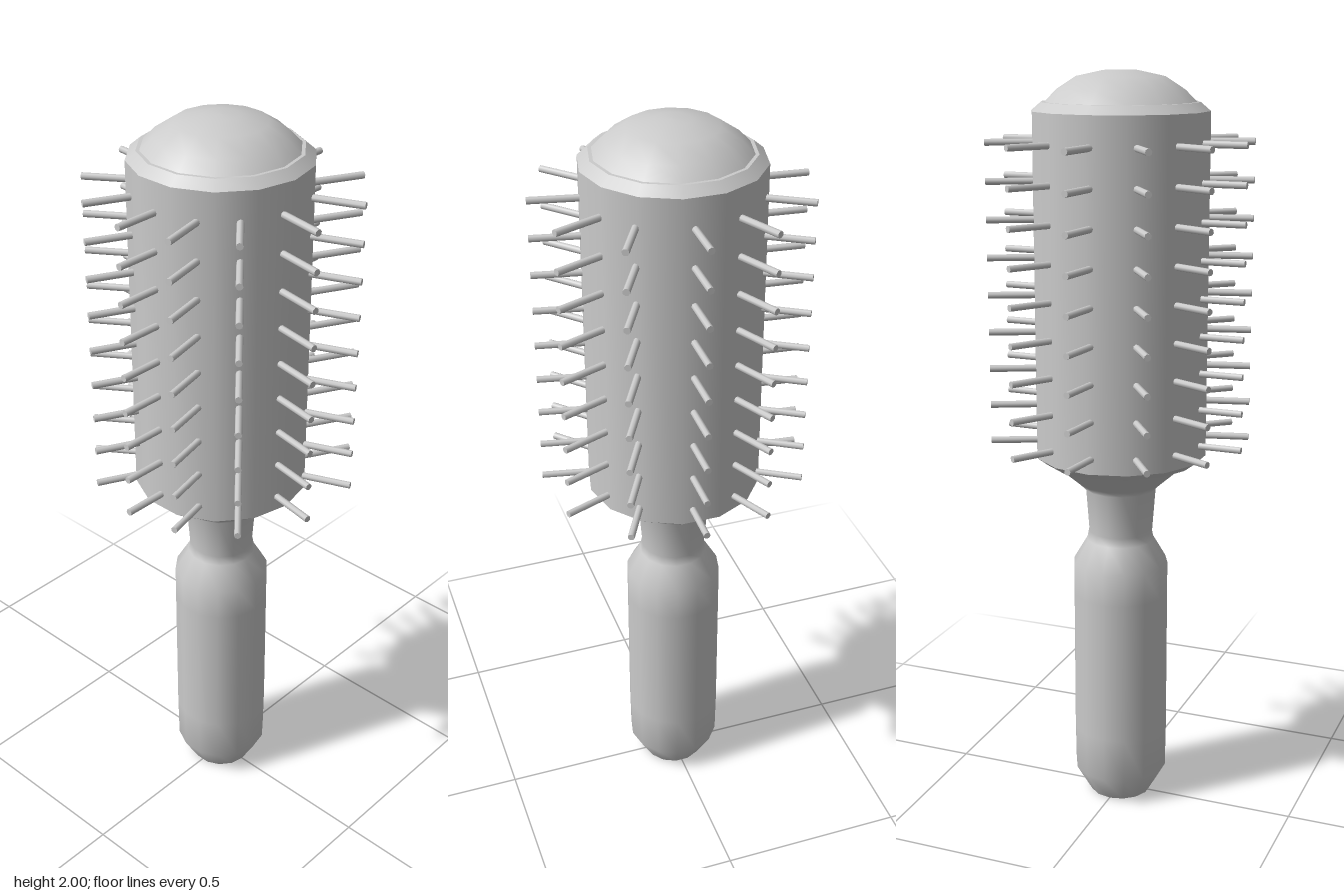
import * as THREE from 'three';

const material = new THREE.MeshStandardMaterial({ color: 0xcccccc });
const SIDES = 14;

// Revolved section; profile is [radius, y] from bottom to top, with a corner on the +x axis
function turned(name, profile) {
  const points = profile.map(([r, y]) => new THREE.Vector2(r, y));
  const mesh = new THREE.Mesh(new THREE.LatheGeometry(points, SIDES, Math.PI / 2), material);
  mesh.name = name;
  return mesh;
}

// Pin columns around the barrel: root x, z and tip x, z
const PIN_COLUMNS = [
  [0.022, -0.215, 0.026, -0.341], [0.145, -0.165, 0.208, -0.286],
  [0.205, -0.09, 0.33, -0.14], [0.215, 0.028, 0.347, 0.054],
  [0.175, 0.125, 0.266, 0.228], [0.102, 0.185, 0.133, 0.318],
  [-0.005, 0.215, -0.006, 0.34], [-0.105, 0.18, -0.165, 0.3],
  [-0.18, 0.11, -0.292, 0.185], [-0.21, 0.009, -0.349, -0.005],
  [-0.18, -0.106, -0.298, -0.18], [-0.093, -0.19, -0.15, -0.312],
];

function createPins() {
  const pins = new THREE.Group();
  pins.name = 'bristlePins';
  const up = new THREE.Vector3(0, 1, 0);
  const rows = 9;
  PIN_COLUMNS.forEach(([x0, z0, x1, z1]) => {
    const direction = new THREE.Vector3(x1 - x0, 0, z1 - z0);
    const geometry = new THREE.CylinderGeometry(0.009, 0.009, direction.length(), 8);
    direction.normalize();
    for (let row = 0; row < rows; row++) {
      const pin = new THREE.Mesh(geometry, material);
      pin.name = 'pin';
      pin.position.set((x0 + x1) / 2, 1.04 + row * 0.0978, (z0 + z1) / 2);
      pin.quaternion.setFromUnitVectors(up, direction);
      pins.add(pin);
    }
  });
  return pins;
}

export function createModel() {
  const model = new THREE.Group();
  model.name = 'roundHairbrush';

  // Handle with tapered butt, narrow neck and flared collar
  model.add(
    turned('handleEnd', [[0, 0], [0.085, 0]]),
    turned('handle', [
      [0.085, 0], [0.128, 0.075], [0.13, 0.2], [0.13, 0.6], [0.13, 0.69],
      [0.092, 0.755], [0.087, 0.78], [0.096, 0.9], [0.115, 0.918], [0.187, 0.98],
    ]),
  );

  // Barrel with bevelled rims at both ends
  model.add(
    turned('lowerRim', [[0.187, 0.98], [0.203, 0.98]]),
    turned('lowerBevel', [[0.203, 0.98], [0.23, 1.0]]),
    turned('barrel', [[0.23, 1.0], [0.23, 1.9]]),
    turned('upperBevel', [[0.23, 1.9], [0.204, 1.922]]),
    turned('upperRim', [[0.204, 1.922], [0.195, 1.922]]),
  );

  // Domed cap
  model.add(turned('domeCap', [
    [0.195, 1.922], [0.165, 1.952], [0.115, 1.984], [0.045, 1.999], [0, 2.0],
  ]));

  model.add(createPins());
  return model;
}
